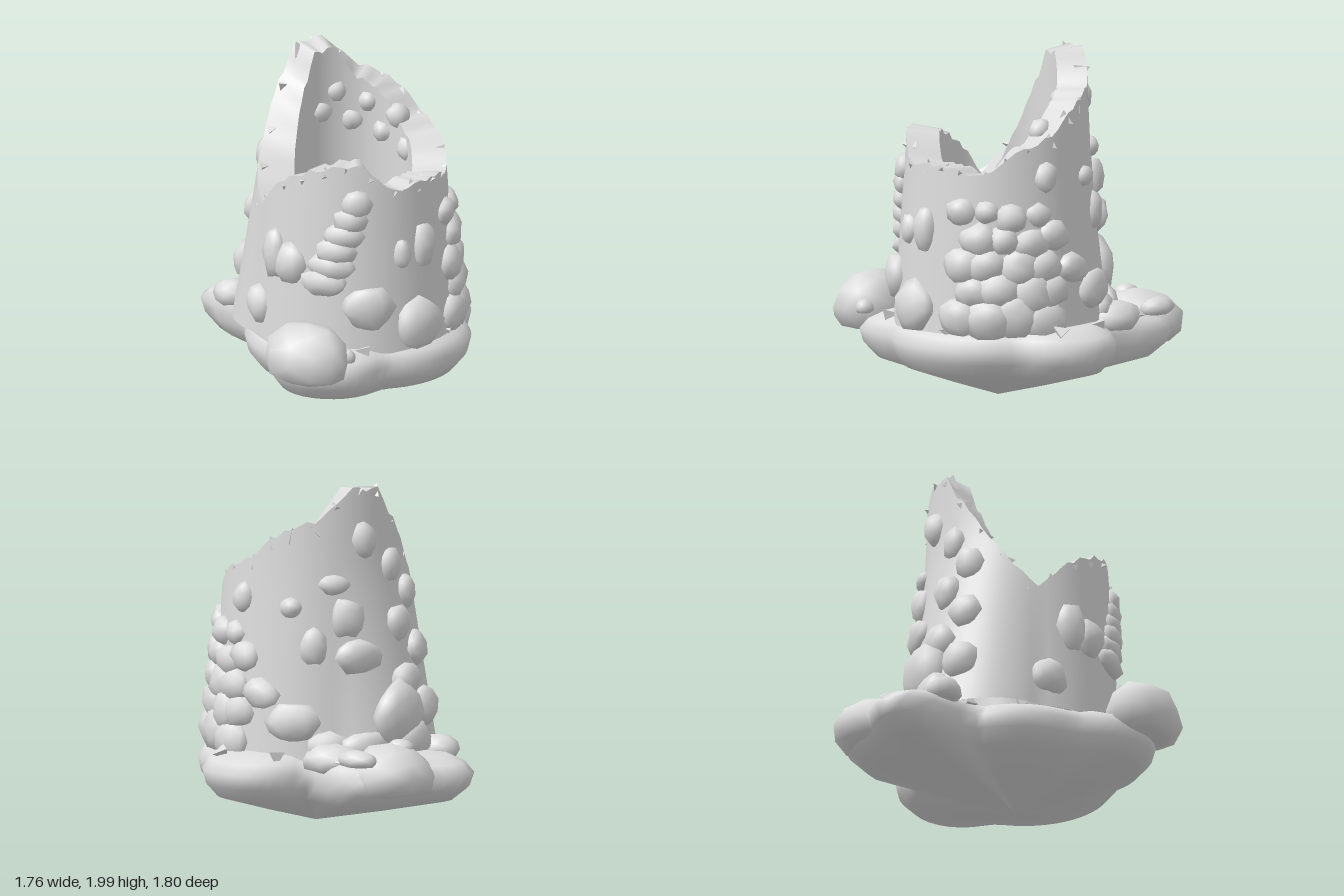
import * as THREE from 'three';
import { mergeVertices } from 'three/addons/utils/BufferGeometryUtils.js';

const CX = 0.21, CZ = -0.06, N = 72, INNER = 0.335;
const stoneGrey = new THREE.MeshStandardMaterial({ color: 0xdcdcdc, side: THREE.DoubleSide });

// Small seeded random
let seed = 7;
const rand = () => (seed = (seed * 16807) % 2147483647) / 2147483647;
const vary = amount => (rand() - 0.5) * amount;

// Angles run in degrees from the front (+z) towards +x, round the tower axis
const polar = (a, r, y) => {
  const t = THREE.MathUtils.degToRad(a);
  return [CX + r * Math.sin(t), y, CZ + r * Math.cos(t)];
};

// Closed ring surface: point(angle, v, column) gives [radius, height] for v in 0..1
function ringSurface(rows, point) {
  const pos = [], idx = [];
  for (let j = 0; j <= rows; j++) for (let i = 0; i < N; i++) {
    const a = i * 360 / N;
    pos.push(...polar(a, ...point(a, j / rows, i)));
  }
  for (let j = 0; j < rows; j++) for (let i = 0; i < N; i++) {
    const p = j * N + i, q = j * N + (i + 1) % N;
    idx.push(p, q, q + N, p, q + N, p + N);
  }
  const g = new THREE.BufferGeometry();
  g.setAttribute('position', new THREE.Float32BufferAttribute(pos, 3));
  g.setIndex(idx);
  g.computeVertexNormals();
  return g;
}

// Rock base outline: union of round lobes [angle, distance, radius] about a central disc
const lobes = [[17, 0.49, 0.34], [100, 0.11, 0.57], [172, 0.5, 0.34], [238, 0.72, 0.33], [262, 0.87, 0.23]];
function lobedRadius(a) {
  let r = 0.62;
  for (const [angle, d, R] of lobes) {
    const t = THREE.MathUtils.degToRad(a - angle), k = R * R - (d * Math.sin(t)) ** 2;
    if (k >= 0 && Math.cos(t) > 0) r = Math.max(r, d * Math.cos(t) + Math.sqrt(k));
  }
  return r;
}
// Average over neighbouring angles to soften the clefts between lobes
const baseRadius = a => (lobedRadius(a - 5) + 2 * lobedRadius(a) + lobedRadius(a + 5)) / 4;
const baseProfile = [[0, 0], [0.45, 0.1], [0.87, 0.2], [0.97, 0.28], [1, 0.36], [0.94, 0.42], [0.82, 0.46],
  [0.62, 0.475], [0, 0.48]];

// Broken rim height round the tower: [angle, height]
const rimHeight = [[0, 1.47], [22, 1.53], [40, 1.53], [58, 1.37], [85, 1.4], [122, 1.35], [136, 1.46],
  [165, 1.57], [178, 1.68], [210, 1.8], [225, 1.9], [237, 2.0], [246, 1.95], [254, 1.99], [265, 1.82],
  [277, 1.7], [290, 1.5], [305, 1.33], [320, 1.19], [340, 1.37], [360, 1.47]];
const rim = Array.from({ length: N }, (_, i) => {
  const a = i * 360 / N, k = Math.max(1, rimHeight.findIndex(p => p[0] >= a));
  const [a0, h0] = rimHeight[k - 1], [a1, h1] = rimHeight[k];
  const h = h0 + (h1 - h0) * (a - a0) / (a1 - a0);
  return h > 1.9 ? h : h + vary(0.035);
});

// Tapered wall with a spreading foot on the side under the peak
function outerRadius(a, y) {
  const t = Math.min(1, (y - 0.42) / 1.1);
  const d = Math.abs(((a - 272 + 900) % 360) - 180) / 48;
  const foot = d < 1 ? 0.13 * (1 - d * d) * (1 - t) : 0;
  return 0.595 - 0.075 * t + foot - 0.04 * Math.max(0, y - 1.5);
}

// Angular rounded stone, cut flat at the given floor
function stoneGeometry(jitter, floor = -2) {
  let g = new THREE.IcosahedronGeometry(1, 1);
  g.deleteAttribute('uv');
  g.deleteAttribute('normal');
  g = mergeVertices(g, 1e-3);
  const p = g.attributes.position;
  for (let i = 0; i < p.count; i++) {
    const s = 1 + vary(jitter);
    p.setXYZ(i, p.getX(i) * s, Math.max(floor, p.getY(i) * s), p.getZ(i) * s);
  }
  g.computeVertexNormals();
  return g;
}

// Single stones in the wall: [angle, height, half width, half height]
const singleStones = [
  [-34, 0.61, 0.11, 0.11], [-19, 0.95, 0.09, 0.16], [-6, 0.92, 0.11, 0.12], [42, 0.7, 0.15, 0.13],
  [64, 1.0, 0.06, 0.09], [80, 1.02, 0.08, 0.13], [74, 0.57, 0.16, 0.15], [160, 1.33, 0.07, 0.09],
  [177, 0.8, 0.12, 0.09], [198, 0.65, 0.16, 0.11], [195, 1.3, 0.07, 0.06], [209, 1.08, 0.08, 0.11],
  [222, 1.43, 0.09, 0.06], [230, 1.24, 0.1, 0.12], [236, 1.02, 0.14, 0.1], [243, 1.68, 0.08, 0.11],
  [218, 0.5, 0.14, 0.1], [237, 0.5, 0.17, 0.1], [256, 0.68, 0.17, 0.19],
];

// Loose rocks on the base: [x, y, z, half width, half height, half depth]
const baseRocks = [
  [0.4, 0.46, 0.7, 0.26, 0.21, 0.2], [-0.53, 0.37, -0.49, 0.25, 0.18, 0.26],
  [-0.44, 0.48, -0.7, 0.12, 0.06, 0.08], [-0.54, 0.52, -0.39, 0.08, 0.05, 0.07],
  [-0.57, 0.46, 0.01, 0.11, 0.09, 0.1], [0.6, 0.48, 0.6, 0.06, 0.05, 0.05],
  [-0.2, 0.44, -0.55, 0.2, 0.1, 0.17], [-0.38, 0.45, -0.15, 0.14, 0.14, 0.16],
];

export function createModel() {
  const model = new THREE.Group();
  const add = (name, geometry, parent = model) => {
    const m = new THREE.Mesh(geometry, stoneGrey);
    m.name = name;
    parent.add(m);
    return m;
  };
  const group = name => {
    const g = new THREE.Group();
    g.name = name;
    model.add(g);
    return g;
  };

  // Lobed rock with a shallow pointed underside; its top is the tower floor
  const last = baseProfile.length - 1;
  add('rockBase', ringSurface(last, (a, v) => {
    const [k, y] = baseProfile[Math.round(v * last)];
    return [k * baseRadius(a), y];
  }));

  // Thick ruined tower: outside, broken top edge, straight inside
  add('outerWall', ringSurface(8, (a, v, i) => {
    const y = 0.42 + (rim[i] - 0.42) * v;
    return [outerRadius(a, y), y];
  }));
  add('brokenRim', ringSurface(1, (a, v, i) => [v ? INNER : outerRadius(a, rim[i]), rim[i] - 0.02 * v]));
  add('innerWall', ringSurface(4, (a, v, i) => {
    const top = rim[i] - 0.02;
    return [INNER, top + (0.45 - top) * v];
  }));

  // Stones bulging from the wall
  const stones = group('wallStones');
  const wallStone = (a, y, w, h, r = outerRadius(a, y) - 0.01) => {
    const s = add('wallStone', stoneGeometry(0.25), stones);
    s.position.set(...polar(a, r, y));
    s.rotation.y = THREE.MathUtils.degToRad(a);
    s.scale.set(w, h, 0.04 + 0.35 * Math.min(w, h));
  };
  for (const stone of singleStones) wallStone(...stone);

  // Leaning stack on the front
  for (let i = 0; i < 6; i++) wallStone(36 - 4 * i, 1.31 - 0.093 * i, 0.09 + 0.012 * i, 0.08);

  // Dense staggered patch towards the back, shrinking upwards
  for (let row = 0; row < 5; row++) for (let col = 0; col < 4; col++) {
    const size = 0.135 - 0.012 * row + vary(0.03);
    wallStone(107 + 16 * col + (row % 2) * 8 + vary(5), 0.53 + 0.15 * row + vary(0.05), size, size * 0.9);
  }

  // Zigzag of stones up the side under the peak
  for (let i = 0; i < 7; i++)
    wallStone(264 + (i % 2) * 14, 0.53 + 0.165 * i, 0.12 - 0.007 * i, 0.12 - 0.003 * i);

  // Stones showing on the inside under the peak
  for (let i = 0; i < 7; i++) wallStone(155 + 15 * i, 1.4 + 0.03 * i + (i % 2) * 0.14, 0.07, 0.07, INNER + 0.03);

  // Rocks resting on the base
  const rocks = group('baseRocks');
  for (const [x, y, z, w, h, d] of baseRocks) {
    const s = add('baseRock', stoneGeometry(0.14, -0.6), rocks);
    s.position.set(x, y, z);
    s.scale.set(w, h, d);
  }

  // Small chips along the rim and round the foot
  const chips = group('chips');
  const chip = (a, r, y) => {
    const c = add('chip', new THREE.TetrahedronGeometry(0.06), chips);
    c.position.set(...polar(a, r, y));
    c.rotation.set(rand() * 3, rand() * 6, 0);
  };
  for (let i = 0; i < N; i += 3) chip(i * 5, outerRadius(i * 5, rim[i]) - 0.03, rim[i] - 0.04);
  for (let a = 10; a < 360; a += 30) chip(a, baseRadius(a) * 0.85, 0.46);
  return model;
}
